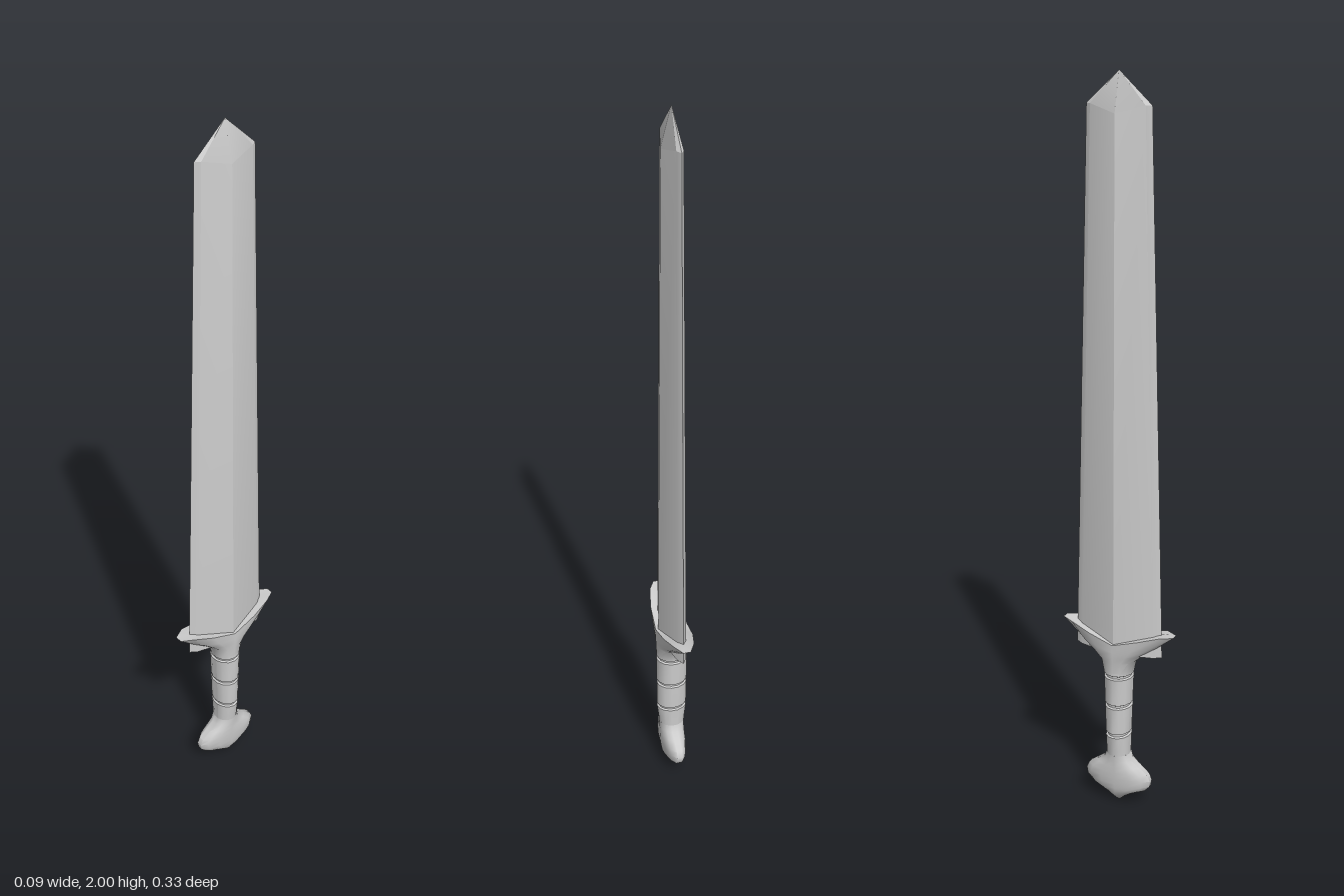
import * as THREE from 'three';
import { toCreasedNormals } from 'three/addons/utils/BufferGeometryUtils.js';

// Skin a stack of rings (arrays of Vector3, counter-clockwise from above, bottom to top).
function skin(rings, crease, capBottom = true, capTop = true) {
  const n = rings[0].length, pos = [], idx = [];
  rings.forEach(r => r.forEach(p => pos.push(p.x, p.y, p.z)));
  for (let j = 0; j < rings.length - 1; j++) {
    for (let i = 0; i < n; i++) {
      const k = (i + 1) % n;
      const a = j * n + i, b = j * n + k, c = a + n, d = b + n;
      idx.push(a, b, d, a, d, c);
    }
  }
  const cap = (j, up) => {
    const y = Math.min(...rings[j].map(p => p.y));
    const centre = pos.length / 3;
    pos.push(0, y, 0);
    for (let i = 0; i < n; i++) {
      const a = j * n + i, b = j * n + (i + 1) % n;
      if (up) idx.push(a, b, centre); else idx.push(b, a, centre);
    }
  };
  if (capBottom) cap(0, false);
  if (capTop) cap(rings.length - 1, true);
  const g = new THREE.BufferGeometry();
  g.setAttribute('position', new THREE.Float32BufferAttribute(pos, 3));
  g.setIndex(idx);
  return toCreasedNormals(g, crease);
}

// 14-sided oval ring; heightAt may bend the ring as a function of z.
function oval(rx, rz, heightAt) {
  return Array.from({ length: 14 }, (_, i) => {
    const a = (i + 0.5) / 14 * Math.PI * 2;
    const z = Math.cos(a) * rz;
    return new THREE.Vector3(Math.sin(a) * rx, heightAt(z), z);
  });
}
const flatOvals = rows => rows.map(([y, rx, rz]) => oval(rx, rz, () => y));

// Eight-cornered blade section: central ridges, bevels and cutting edges.
function bladeSection(y, rx, rz, ridgeY = y) {
  const half = [[0, 1], [0.34, 0.84], [1, 0], [0.34, -0.84]];
  const pts = [...half, ...half.map(([x, z]) => [-x, -z])];
  return pts.map(([x, z]) =>
    new THREE.Vector3(x * rx, z === 0 ? ridgeY : y, z * rz));
}

export function createModel() {
  const sword = new THREE.Group();
  sword.name = 'sword';
  const grey = new THREE.MeshStandardMaterial({ color: 0xcccccc, side: THREE.DoubleSide });
  const add = (name, geometry) => {
    const mesh = new THREE.Mesh(geometry, grey);
    mesh.name = name;
    sword.add(mesh);
  };

  // Blade, tapering slightly and closing in a short point
  add('blade', skin([
    bladeSection(0.47, 0.039, 0.127),
    bladeSection(0.54, 0.038, 0.126),
    bladeSection(1.92, 0.026, 0.088, 1.9),
    bladeSection(2, 0.0002, 0.0002),
  ], 0.4, true, false));

  // Guard, flaring from the grip into two raised wings with a V-shaped top
  const vee = z => 0.5 + 0.04 * Math.min(1, Math.abs(z) / 0.13);
  add('guard', skin([
    oval(0.044, 0.042, () => 0.41),
    oval(0.045, 0.05, () => 0.445),
    oval(0.046, 0.078, z => 0.462 + 0.1 * Math.abs(z)),
    oval(0.046, 0.12, z => 0.478 + 0.2 * Math.abs(z)),
    oval(0.046, 0.168, vee),
    oval(0.036, 0.122, vee),
  ], 0.8));

  // Grip, with three narrow grooves
  const gripRows = [[0.13, 0.035, 0.034], [0.17, 0.038, 0.034]];
  for (const y of [0.22, 0.31, 0.4]) {
    const rx = 0.043 + (y - 0.22) * 0.008, rz = 0.035 + (y - 0.22) * 0.033;
    gripRows.push([y - 0.006, rx, rz], [y - 0.003, rx - 0.005, rz - 0.005],
      [y + 0.003, rx - 0.005, rz - 0.005], [y + 0.006, rx, rz]);
  }
  gripRows.push([0.42, 0.044, 0.043]);
  add('grip', skin(flatOvals(gripRows), 0.6));

  // Pommel, wide and rounded with a small pointed end
  add('pommel', skin(flatOvals([
    [0, 0.004, 0.004],
    [0.018, 0.02, 0.024],
    [0.035, 0.029, 0.052],
    [0.048, 0.031, 0.083],
    [0.063, 0.033, 0.097],
    [0.082, 0.034, 0.1],
    [0.1, 0.035, 0.092],
    [0.118, 0.035, 0.066],
    [0.135, 0.036, 0.042],
    [0.155, 0.037, 0.034],
  ]), 1));

  return sword;
}
